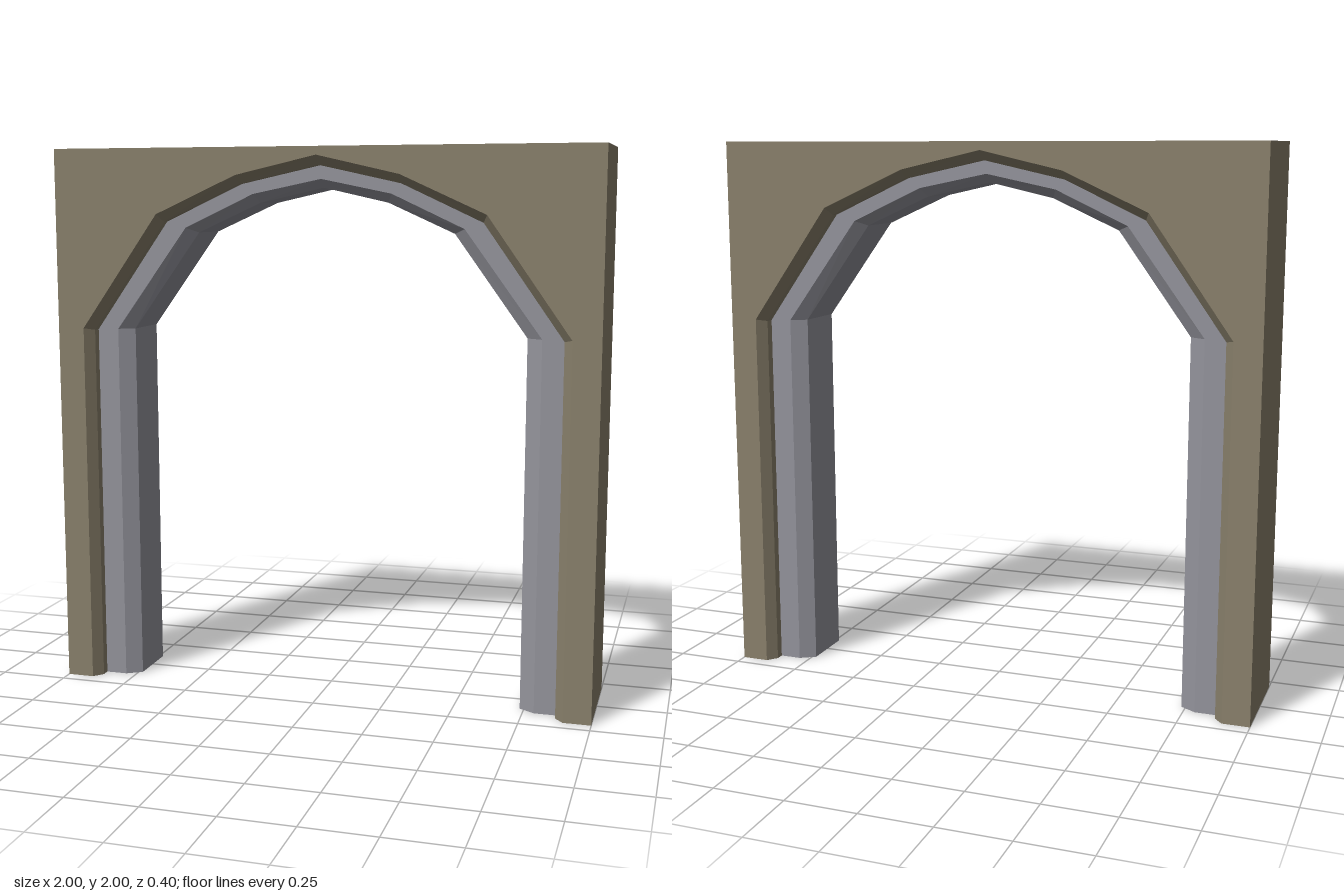
import * as THREE from 'three';

// Mirror half an arch (right foot to crown) into a full run, right foot to left foot.
const fullArch = half => [...half, ...half.slice(0, -1).reverse().map(([x, y]) => [-x, y])];

// Half outlines, from the outside of the wall to the inside of the lining
const outer = fullArch([[1, 0], [1, 1.345], [1, 2], [0.3, 2], [0, 2]]);
const wallEdge = fullArch([[0.9, 0], [0.9, 1.345], [0.603, 1.764], [0.298, 1.902], [0, 1.97]]);
const reveal = fullArch([[0.87, 0], [0.87, 1.337], [0.586, 1.737], [0.297, 1.871], [0, 1.936]]);
const liningEdge = fullArch([[0.79, 0], [0.79, 1.34], [0.515, 1.715], [0.255, 1.836], [0, 1.888]]);
const opening = fullArch([[0.735, 0], [0.735, 1.34], [0.475, 1.698], [0.237, 1.805], [0, 1.858]]);

// Loft a front-to-back symmetric section, given as [outline, z] steps, along the arch.
function archSweep(name, color, steps, closed) {
  const section = [...steps, ...steps.slice().reverse().map(([o, z]) => [o, -z])];
  const rings = section.map(([outline, z]) => outline.map(([x, y]) => [x, y, z]));
  const pos = [];
  const tri = (...points) => points.forEach(p => pos.push(...p));
  const n = rings.length, last = outer.length - 1;
  for (let j = 0; j < (closed ? n : n - 1); j++) {
    const a = rings[j], b = rings[(j + 1) % n];
    for (let i = 0; i < last; i++) {
      tri(a[i], a[i + 1], b[i + 1]);
      tri(a[i], b[i + 1], b[i]);
    }
  }
  // Undersides of both feet
  for (let j = 1; j < n - 1; j++) {
    tri(rings[0][0], rings[j][0], rings[j + 1][0]);
    tri(rings[0][last], rings[j + 1][last], rings[j][last]);
  }
  const geometry = new THREE.BufferGeometry();
  geometry.setAttribute('position', new THREE.Float32BufferAttribute(pos, 3));
  geometry.computeVertexNormals();
  const mesh = new THREE.Mesh(geometry, new THREE.MeshStandardMaterial({ color, flatShading: true }));
  mesh.name = name;
  return mesh;
}

export function createModel() {
  const group = new THREE.Group();
  group.name = 'archway';
  // Rectangular wall with a chamfered arch edge
  group.add(archSweep('wall', 0x8a816c,
    [[outer, 0.2], [wallEdge, 0.2], [reveal, 0.165], [reveal, 0.134]], true));
  // Recessed stone lining with its own chamfer
  group.add(archSweep('archLining', 0x94949c,
    [[reveal, 0.134], [liningEdge, 0.134], [opening, 0.1]], false));
  return group;
}
